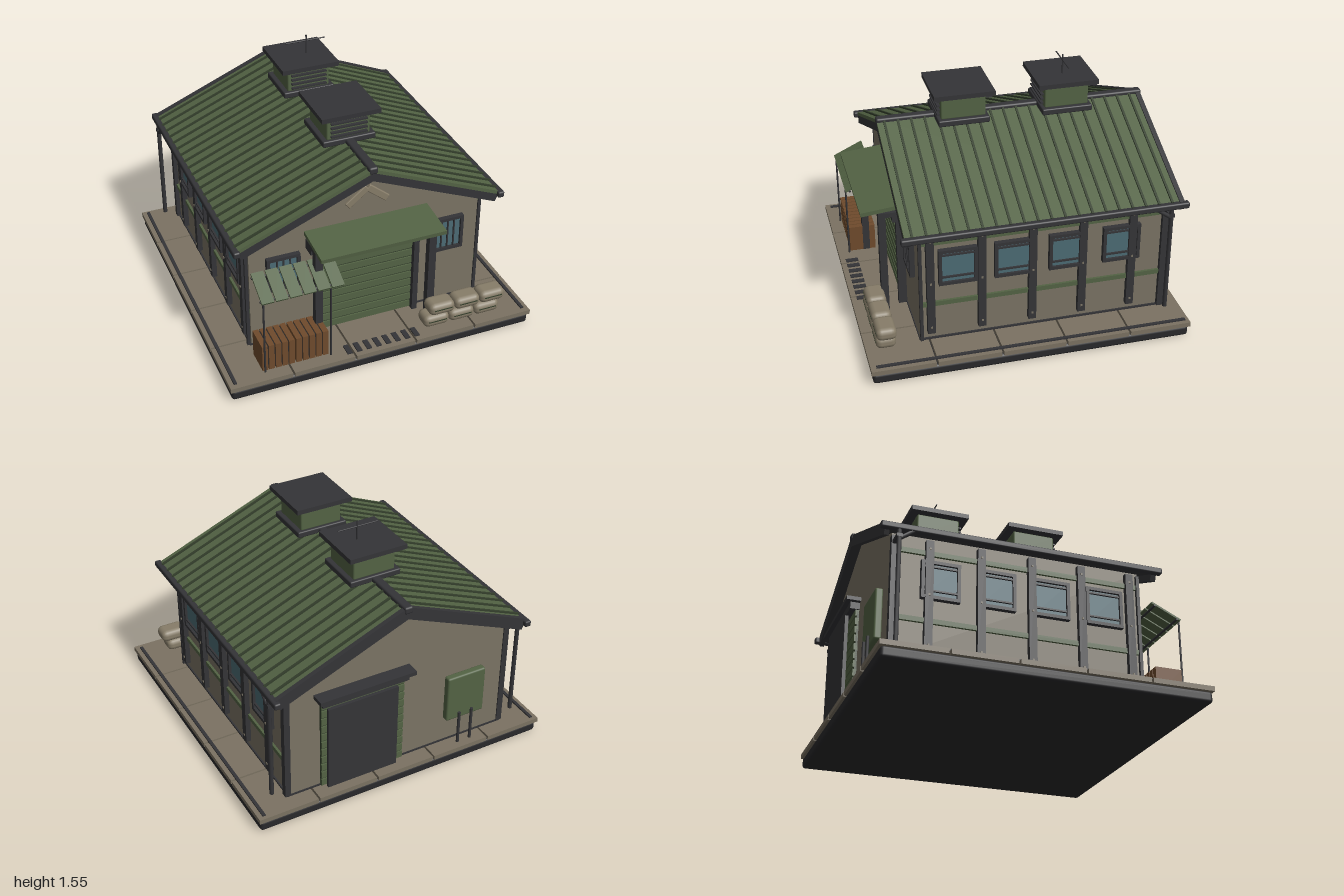
import * as THREE from 'three';
import { RoundedBoxGeometry } from 'three/addons/geometries/RoundedBoxGeometry.js';

const material = (name, color) => {
  const m = new THREE.MeshStandardMaterial({ color });
  m.name = name;
  return m;
};

export function createModel() {
  const model = new THREE.Group();
  model.name = 'depot';
  const wall = material('wall tan', 0x7a7364);
  const paving = material('paving tan', 0x7b7262);
  const canvas = material('sandbag canvas', 0x877d69);
  const green = material('painted green', 0x536344);
  const seam = material('seam dark green', 0x343f2c);
  const dark = material('dark metal', 0x343437);
  const base = material('foundation black', 0x29292b);
  const glass = material('window glass', 0x4c6b74);
  const wood = material('crate wood', 0x6f4b2c);

  const add = (parent, name, geometry, mat, x, y, z) => {
    const mesh = new THREE.Mesh(geometry, mat);
    mesh.name = name;
    mesh.position.set(x, y, z);
    parent.add(mesh);
    return mesh;
  };
  // Box given by its centre and size
  const box = (parent, name, mat, x, y, z, w, h, d) =>
    add(parent, name, new THREE.BoxGeometry(w, h, d), mat, x, y, z);
  const rounded = (parent, name, mat, x, y, z, w, h, d, r) =>
    add(parent, name, new RoundedBoxGeometry(w, h, d, 2, r), mat, x, y, z);
  const rod = (parent, name, mat, x, y, z, r, h) =>
    add(parent, name, new THREE.CylinderGeometry(r, r, h, 10), mat, x, y, z);
  const group = (name, x = 0, y = 0, z = 0) => {
    const g = new THREE.Group();
    g.name = name;
    g.position.set(x, y, z);
    model.add(g);
    return g;
  };

  // Foundation, paving slabs and edge strips
  rounded(model, 'foundation', base, 0, 0.035, 0, 1.97, 0.07, 1.97, 0.02);
  const pavers = group('paving');
  for (let i = -2; i <= 2; i++)
    for (let j = -2; j <= 2; j++)
      box(pavers, 'slab', paving, i * 0.4, 0.085, j * 0.4, 0.388, 0.03, 0.388);
  for (const s of [-1, 1]) box(pavers, 'edgeStrip', dark, s * 0.955, 0.103, -0.005, 0.02, 0.012, 1.93);
  for (let i = 0; i < 8; i++) box(pavers, 'drainBar', dark, -0.225 + i * 0.064, 0.102, 0.92, 0.032, 0.012, 0.08);

  // Walls with gables
  const section = new THREE.Shape();
  [[-0.75, 0.1], [0.75, 0.1], [0.75, 0.88], [0, 1.195], [-0.75, 0.88]].forEach(([x, y], i) =>
    i ? section.lineTo(x, y) : section.moveTo(x, y));
  add(model, 'walls', new THREE.ExtrudeGeometry(section, { depth: 1.54, bevelEnabled: false }), wall, 0, 0, -0.885);
  box(model, 'plinth', dark, 0, 0.106, -0.115, 1.52, 0.012, 1.55);

  // Roof halves with seams, barge boards and gutters
  const angle = Math.atan2(0.35, 0.84);
  for (const s of [-1, 1]) {
    const roof = group('roofHalf', s * 0.42, 1.048, 0);
    roof.rotation.z = -s * angle;
    box(roof, 'roofSheet', green, 0, 0, -0.09, 0.91, 0.022, 1.67);
    box(roof, 'roofLining', dark, 0, -0.017, -0.09, 0.9, 0.012, 1.65);
    for (let i = 0; i < 20; i++) box(roof, 'roofSeam', seam, 0, 0.014, 0.7 - i * 0.083, 0.91, 0.014, 0.014);
    box(roof, 'frontBarge', dark, 0, -0.036, 0.725, 0.92, 0.055, 0.035);
    box(roof, 'backBarge', dark, 0, -0.018, -0.937, 0.92, 0.075, 0.03);
    rounded(model, 'gutter', dark, s * 0.85, 0.867, -0.105, 0.042, 0.04, 1.75, 0.01);
    // Downpipe with its elbow and bracket
    const pipe = group('downpipe', s * 0.855, 0, -0.87);
    rod(pipe, 'pipe', dark, 0, 0.51, 0, 0.014, 0.71);
    rod(pipe, 'elbow', dark, 0, 0.825, 0.045, 0.013, 0.11).rotation.x = 0.95;
    box(pipe, 'bracket', dark, -s * 0.04, 0.81, 0, 0.11, 0.02, 0.035);
  }
  rounded(model, 'ridgeCap', dark, 0, 1.225, -0.105, 0.056, 0.045, 1.71, 0.012);

  // Roof ventilators
  for (const z of [0.23, -0.425]) {
    const vent = group('ventilator', 0, 0, z);
    rounded(vent, 'ventBase', dark, 0, 1.235, 0, 0.34, 0.04, 0.32, 0.008);
    rounded(vent, 'ventBody', green, 0, 1.325, 0, 0.28, 0.15, 0.28, 0.01);
    for (let i = 0; i < 4; i++) box(vent, 'louvre', dark, 0, 1.276 + i * 0.029, 0.148, 0.235, 0.01, 0.024);
    box(vent, 'ventCap', dark, 0, 1.415, 0, 0.38, 0.03, 0.38);
  }
  rod(model, 'antennaMast', dark, 0.04, 1.49, -0.425, 0.005, 0.13);
  rod(model, 'antennaBar', dark, 0.035, 1.518, -0.425, 0.004, 0.265).rotation.z = Math.PI / 2;

  // Framed window facing +z
  const makeWindow = (x, y, z, w, h, turn, upright) => {
    const g = group('window', x, y, z);
    g.rotation.y = turn;
    box(g, 'pane', glass, 0, 0, 0.012, w - 0.03, h - 0.03, 0.008);
    for (const s of [-1, 1]) {
      box(g, 'frameSide', dark, s * (w / 2 - 0.01), 0, 0.015, 0.02, h, 0.034);
      box(g, 'frameRail', dark, 0, s * (h / 2 - 0.01), 0.015, w, 0.02, 0.034);
    }
    if (upright)
      for (const k of [-1, 0, 1]) box(g, 'bar', dark, k * 0.042, 0, 0.025, 0.009, h - 0.03, 0.009);
    else
      for (const k of [-0.068, 0.083]) box(g, 'bar', dark, 0, k, 0.022, w - 0.03, 0.01, 0.012);
  };
  for (const s of [-1, 1]) {
    makeWindow(s * 0.54, 0.603, 0.655, 0.212, 0.235, 0, true);
    // Side walls: windows, posts with bolts, and rails
    for (const z of [0.42, 0.08, -0.257, -0.595]) makeWindow(s * 0.75, 0.608, z, 0.235, 0.24, s * Math.PI / 2, false);
    const side = group('sideFrame');
    for (let i = 0; i < 5; i++) {
      const z = 0.588 - i * 0.313;
      box(side, 'post', dark, s * 0.765, 0.505, z, 0.035, 0.7, 0.048);
      for (const y of [0.2, 0.51, 0.8]) box(side, 'bolt', wall, s * 0.784, y, z, 0.006, 0.012, 0.012);
    }
    box(side, 'lowerRail', green, s * 0.757, 0.355, -0.115, 0.016, 0.03, 1.53);
    box(side, 'upperRail', green, s * 0.757, 0.78, -0.115, 0.016, 0.03, 1.53);
    box(side, 'cornerPost', dark, s * 0.757, 0.48, -0.872, 0.038, 0.75, 0.04);
    box(side, 'frontCornerPost', dark, s * 0.765, 0.48, 0.647, 0.02, 0.75, 0.02);
    // Chevron on the gable
    const bar = rounded(model, 'chevronBar', canvas, s * 0.066, 1.015, 0.662, 0.165, 0.045, 0.02, 0.006);
    bar.rotation.z = -s * 0.68;
  }

  // Slatted shutter shared by both ends
  const shutter = (parent, x, z, w, bottom, top, count) => {
    const pitch = (top - bottom) / count;
    box(parent, 'shutterBack', seam, x, (bottom + top) / 2, z, w, top - bottom, 0.014);
    for (let i = 0; i < count; i++)
      box(parent, 'shutterSlat', green, x, bottom + (i + 0.5) * pitch, z, w, pitch - 0.013, 0.034);
  };

  // Front entrance
  const front = group('frontEntrance');
  shutter(front, 0, 0.665, 0.6, 0.105, 0.73, 11);
  for (const s of [-1, 1]) {
    box(front, 'jamb', dark, s * 0.32, 0.41, 0.68, 0.035, 0.62, 0.055);
    box(front, 'canopyPost', dark, s * 0.37, 0.45, 0.8, 0.048, 0.7, 0.045);
    box(front, 'canopyArm', dark, s * 0.37, 0.78, 0.73, 0.04, 0.03, 0.15);
  }
  box(front, 'lintel', dark, 0, 0.76, 0.695, 0.78, 0.065, 0.085);
  for (let i = 0; i < 8; i++) box(front, 'rivet', base, -0.28 + i * 0.08, 0.76, 0.739, 0.012, 0.012, 0.006);
  box(front, 'canopy', green, 0, 0.824, 0.79, 0.8, 0.026, 0.28).rotation.x = 0.1;

  // Slatted awning on thin poles
  const awning = group('awning', -0.51, 0.655, 0.835);
  awning.rotation.x = 0.44;
  for (let i = 0; i < 6; i++) box(awning, 'awningSlat', green, -0.218 + i * 0.0872, 0, 0, 0.076, 0.012, 0.21);
  for (const z of [-0.08, 0.08]) box(awning, 'awningBatten', dark, 0, -0.011, z, 0.52, 0.01, 0.012);
  for (const x of [-0.755, -0.335]) rod(model, 'awningPole', dark, x, 0.35, 0.92, 0.006, 0.5);

  // Slatted crates
  for (const x of [-0.665, -0.45]) {
    const crate = group('crate', x, 0.19, 0.825);
    box(crate, 'crateCore', base, 0, 0, 0, 0.19, 0.165, 0.15);
    for (let i = 0; i < 5; i++) box(crate, 'crateSlat', wood, -0.085 + i * 0.0425, 0, 0, 0.035, 0.178, 0.17);
  }

  // Two rows of sandbags
  const bags = group('sandbags');
  for (let row = 0; row < 2; row++)
    for (let i = 0; i < 3; i++) {
      const x = 0.375 + row * 0.035 + i * 0.173, y = 0.148 + row * 0.08;
      rounded(bags, 'sandbag', canvas, x, y, 0.87, 0.172, 0.082, 0.125, 0.034);
      box(bags, 'bagSeam', seam, x, y + 0.004, 0.931, 0.12, 0.007, 0.006);
    }

  // Rear sliding door in front of a slatted shutter
  const rear = group('rearEntrance');
  shutter(rear, 0.26, -0.892, 0.56, 0.105, 0.73, 11);
  box(rear, 'slidingDoor', dark, 0.285, 0.415, -0.945, 0.47, 0.58, 0.022);
  box(rear, 'doorTrack', dark, 0.26, 0.745, -0.915, 0.58, 0.05, 0.06);
  box(rear, 'doorHood', dark, 0.26, 0.777, -0.93, 0.64, 0.025, 0.09);

  // Utility cabinet and its conduits
  const cabinet = group('utilityCabinet');
  rounded(cabinet, 'cabinetBody', green, -0.46, 0.44, -0.905, 0.27, 0.32, 0.05, 0.012);
  for (const x of [-0.5, -0.41]) rod(cabinet, 'conduit', dark, x, 0.215, -0.94, 0.01, 0.23);

  return model;
}
